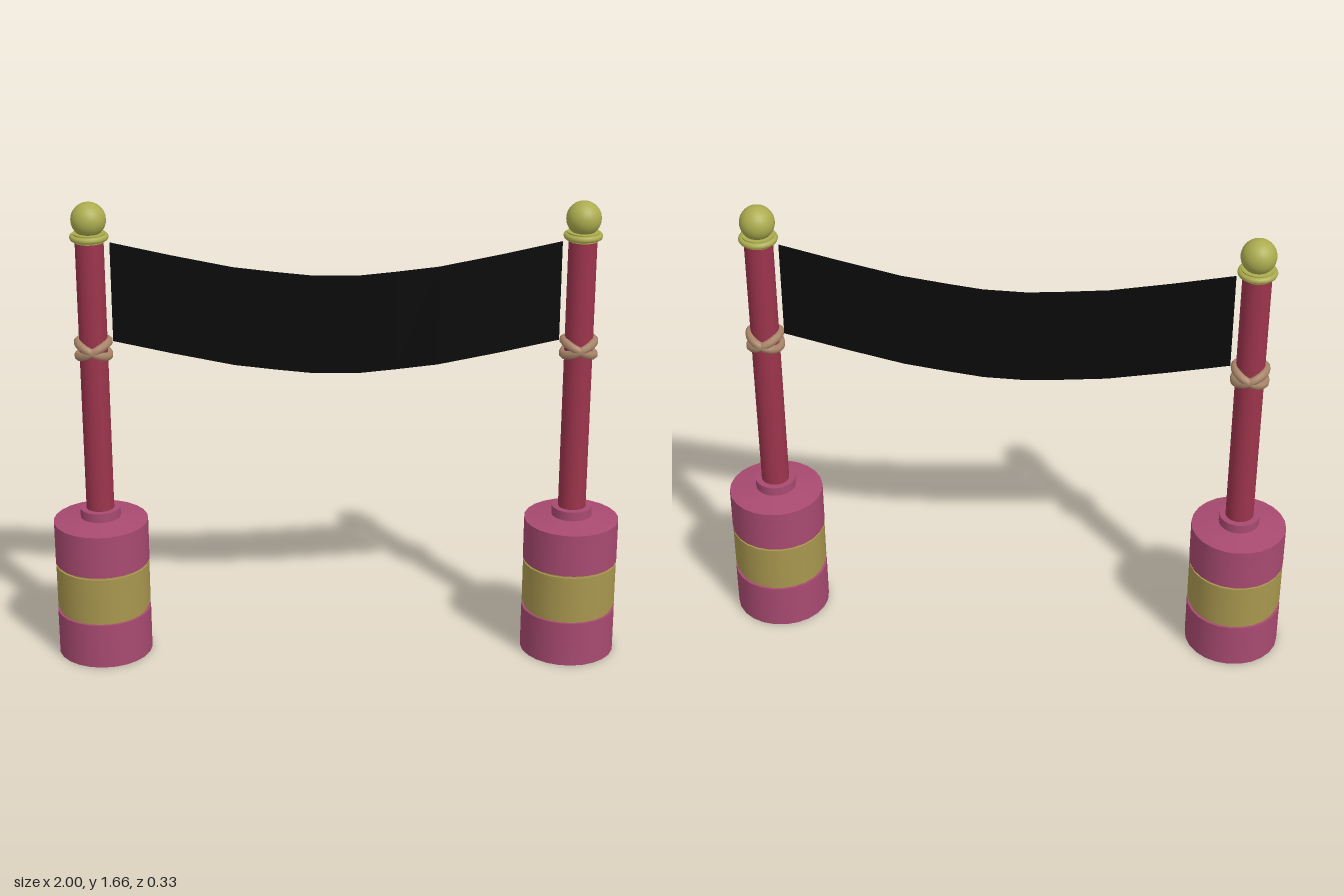
import * as THREE from 'three';

const mat = (color, extra = {}) => new THREE.MeshStandardMaterial({ color, ...extra });
const PINK = mat(0xa84a70), RED = mat(0x9c344c), OLIVE = mat(0xa8964e), GOLD = mat(0xacac50), ROPE = mat(0xa88468);
const BLACK = mat(0x0a0a0a, { side: THREE.DoubleSide });
const SIDES = 24;

function add(parent, name, geometry, material, y = 0) {
  const mesh = new THREE.Mesh(geometry, material);
  mesh.name = name;
  mesh.position.y = y;
  parent.add(mesh);
  return mesh;
}

// Upright cylinder or cone frustum between two heights
function drum(parent, name, y0, y1, r, material, topR = r) {
  return add(parent, name, new THREE.CylinderGeometry(topR, r, y1 - y0, SIDES), material, (y0 + y1) / 2);
}

function makePost(name) {
  const post = new THREE.Group();
  post.name = name;

  // Drum base: two pink sections around an olive band set off by grooves
  drum(post, 'baseLower', 0, 0.165, 0.167, PINK);
  drum(post, 'baseCore', 0.16, 0.355, 0.158, OLIVE);
  drum(post, 'baseBand', 0.183, 0.342, 0.166, OLIVE);
  drum(post, 'baseUpper', 0.35, 0.505, 0.167, PINK);
  drum(post, 'baseShoulder', 0.505, 0.52, 0.167, PINK, 0.07);
  drum(post, 'poleCollar', 0.515, 0.553, 0.071, PINK);

  // Pole and finial
  drum(post, 'pole', 0.54, 1.545, 0.049, RED);
  drum(post, 'finialNeck', 1.53, 1.56, 0.055, GOLD);
  const ring = add(post, 'finialRing', new THREE.TorusGeometry(0.056, 0.011, 8, SIDES), GOLD, 1.545);
  ring.rotation.x = Math.PI / 2;
  add(post, 'finialBall', new THREE.SphereGeometry(0.06, 24, 16), GOLD, 1.605);

  // Rope loops crossing on the front and back of the pole
  for (const side of [-1, 1]) {
    const loop = new THREE.TorusGeometry(0.058, 0.015, 8, SIDES);
    loop.rotateX(Math.PI / 2);
    add(post, 'ropeLoop', loop, ROPE, 1.147).rotation.z = side * 0.45;
  }
  return post;
}

// Sagging cloth strip hung between the poles
function makeBanner() {
  const half = [[0.765, 1.525], [0.56, 1.479], [0.35, 1.436], [0.2, 1.418], [0.075, 1.405]];
  const top = [...half.map(([x, y]) => [-x, y]), ...half.slice().reverse()];
  const geometry = new THREE.PlaneGeometry(1, 1, top.length - 1, 1);
  const p = geometry.attributes.position;
  top.forEach(([x, y], i) => {
    p.setXYZ(i, x, y, 0);
    p.setXYZ(i + top.length, x, y - 0.353, 0);
  });
  geometry.computeVertexNormals();
  return geometry;
}

export function createModel() {
  const model = new THREE.Group();
  model.name = 'bannerStand';
  for (const [name, x] of [['leftPost', 0.833], ['rightPost', -0.833]]) {
    const post = makePost(name);
    post.position.x = x;
    model.add(post);
  }
  add(model, 'banner', makeBanner(), BLACK);
  return model;
}
